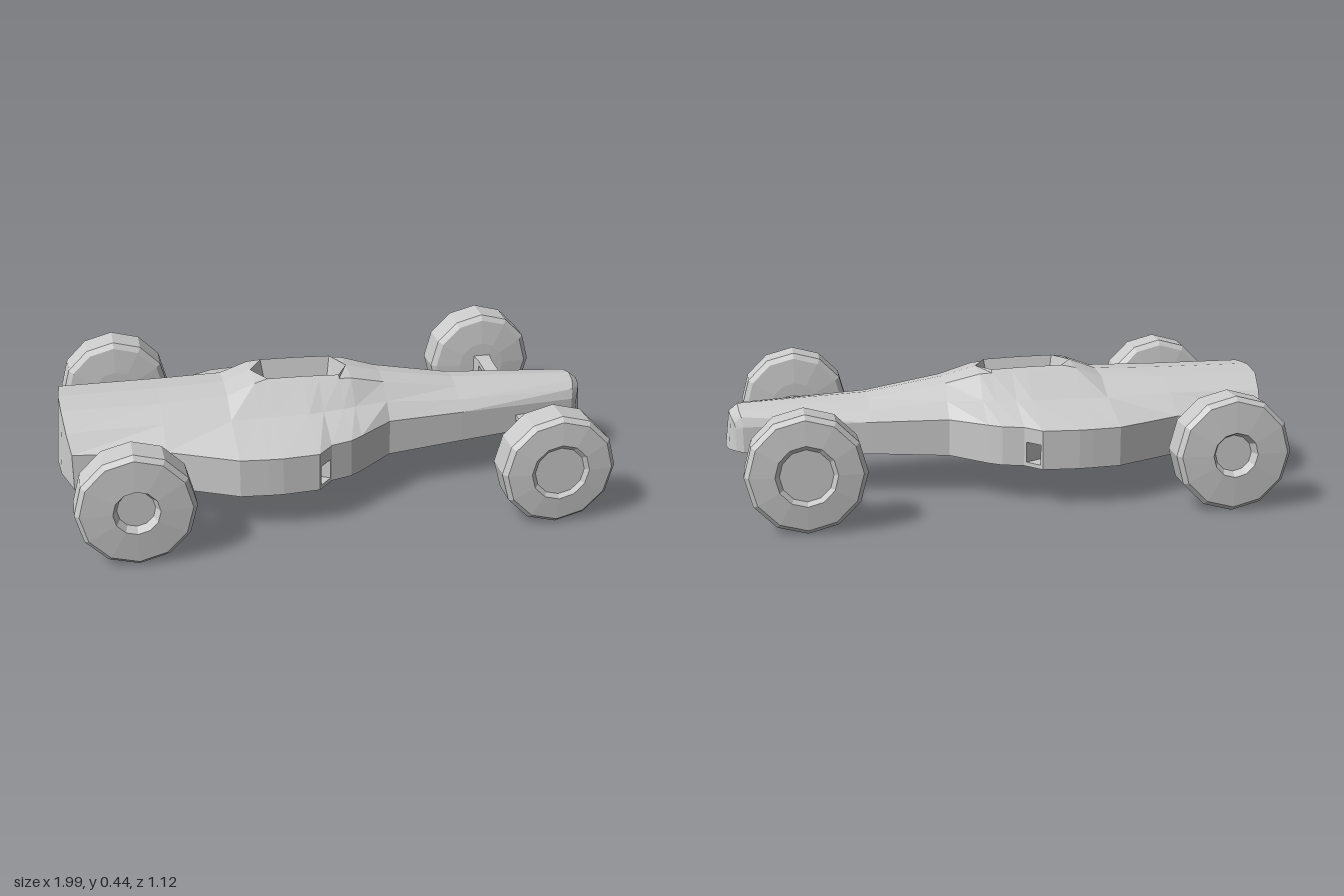
import * as THREE from 'three';

const material = new THREE.MeshStandardMaterial({ color: 0xcccccc, flatShading: true });

// Mesh from corner loops given for the +z half, mirrored to -z
function mirroredPanels(name, panels) {
  const pos = [];
  for (const p of panels) {
    for (let k = 1; k < p.length - 1; k++) {
      const tri = [p[0], p[k], p[k + 1]];
      for (const [x, y, z] of tri) pos.push(x, y, z);
      for (const [x, y, z] of tri.reverse()) pos.push(x, y, -z);
    }
  }
  const g = new THREE.BufferGeometry();
  g.setAttribute('position', new THREE.Float32BufferAttribute(pos, 3));
  g.computeVertexNormals();
  const mesh = new THREE.Mesh(g, material);
  mesh.name = name;
  return mesh;
}

// Quads joining two closed loops of corners
function bridge(a, b) {
  return a.map((p, k) => {
    const n = (k + 1) % a.length;
    return [p, a[n], b[n], b[k]];
  });
}

// Body stations: x, side width, waist y, shoulder z, shoulder y, deck z, top y, opening z, bottom y
const stations = [
  [-0.945, 0.24, 0.28, 0.185, 0.34, 0.11, 0.40, 0, 0.145],
  [-0.62, 0.28, 0.28, 0.19, 0.345, 0.11, 0.40, 0, 0.14],
  [-0.38, 0.395, 0.28, 0.2, 0.34, 0.105, 0.405, 0, 0.14],
  [-0.28, 0.405, 0.28, 0.2, 0.34, 0.1, 0.443, 0, 0.14],
  [-0.23, 0.408, 0.28, 0.2, 0.34, 0.1, 0.442, 0.088, 0.14],
  [-0.1, 0.4, 0.28, 0.2, 0.34, 0.1, 0.44, 0.088, 0.14],
  [-0.045, 0.34, 0.28, 0.19, 0.34, 0.1, 0.438, 0.088, 0.14],
  [0.03, 0.318, 0.28, 0.18, 0.34, 0.1, 0.435, 0.088, 0.14],
  [0.075, 0.287, 0.28, 0.17, 0.34, 0.098, 0.432, 0, 0.14],
  [0.2, 0.192, 0.28, 0.14, 0.335, 0.08, 0.398, 0, 0.147],
  [0.48, 0.16, 0.275, 0.125, 0.31, 0.07, 0.35, 0, 0.158],
  [0.93, 0.098, 0.26, 0.085, 0.295, 0.055, 0.326, 0, 0.166],
  [0.955, 0.08, 0.25, 0.072, 0.27, 0.045, 0.3, 0, 0.168],
];

// Half section from bottom centre round to the deck, with bowed tail and nose
function section([x, w, waist, mz, my, ez, top, open, bot], i) {
  const bow = i === 0 ? -0.05 : i === stations.length - 1 ? 0.04 : i === stations.length - 2 ? 0.03 : 0;
  const pts = [[0, bot], [ez, bot], [w, bot], [w, waist], [mz, my], [ez, top - 0.01], [open, top]];
  return pts.map(([z, y]) => [
    x + bow * (1 - (z / w) ** 2) * (1 - 0.4 * (y - bot) / (top - bot)), y, z]);
}

function createBody() {
  const body = new THREE.Group();
  body.name = 'body';
  const rings = stations.map(section);
  const intakeStation = 5, shell = [];
  for (let i = 0; i < rings.length - 1; i++) {
    for (let j = 0; j < 6; j++) {
      if (i === intakeStation && j === 2) continue;
      shell.push([rings[i][j], rings[i + 1][j], rings[i + 1][j + 1], rings[i][j + 1]]);
    }
  }
  // Tail and nose faces
  const ends = (r) => [[r[0], r[1], r[5], r[6]], [r[1], r[2], r[3], r[4], r[5]]];
  shell.push(...ends(rings[0]));
  shell.push(...ends(rings[rings.length - 1]).map((p) => p.reverse()));
  body.add(mirroredPanels('bodyShell', shell));

  // Side intakes: a frame and a pocket in the slanted panel
  const a = rings[intakeStation], b = rings[intakeStation + 1];
  const outer = [a[2], b[2], b[3], a[3]];
  const at = (u, y) => [a[2][0] + u * (b[2][0] - a[2][0]), y, a[2][2] + u * (b[2][2] - a[2][2])];
  const inner = [at(0.12, 0.155), at(0.88, 0.155), at(0.88, 0.228), at(0.12, 0.228)];
  const back = inner.map(([x, y, z]) => [x - 0.09, y, z - 0.05]);
  body.add(mirroredPanels('sideIntakes', [...bridge(outer, inner), ...bridge(inner, back), back]));

  // Cockpit tub below the deck opening
  const rim = [3, 4, 5, 6, 7, 8].map((i) => rings[i][6]);
  const floor = rim.map(([x, , z]) => [-0.1 + (x + 0.1) * 0.82, 0.28, z * 0.6]);
  const tub = bridge(rim, floor).slice(0, -1);
  tub.push(floor);
  body.add(mirroredPanels('cockpitTub', tub));
  return body;
}

// Twelve-sided wheel, outer face towards +z
function createWheel(name, hubRadius, hubDepth) {
  const profile = [
    [0, -0.08], [0.09, -0.078], [0.185, -0.066], [0.204, -0.05],
    [0.206, 0.055], [0.19, 0.072], [hubRadius + 0.015, 0.08],
    [hubRadius, 0.08 - hubDepth], [0, 0.08 - hubDepth],
  ].map(([r, h]) => new THREE.Vector2(r, h));
  const g = new THREE.LatheGeometry(profile, 12);
  g.rotateX(Math.PI / 2);
  const wheel = new THREE.Mesh(g, material);
  wheel.name = name;
  return wheel;
}

// Forked suspension arms: two diverging beams meeting a hub block
function createArms(name, xIn, xOut, halfIn, halfOut, zIn) {
  const rect = (x, h, y0, y1, z) => [[x - h, y0, z], [x + h, y0, z], [x + h, y1, z], [x - h, y1, z]];
  const beam = (p, q) => [...bridge(p, q), [...p].reverse(), q];
  const zOut = 0.35;
  return mirroredPanels(name, [
    ...beam(rect(xIn, halfIn, 0.209, 0.225, zIn), rect(xOut, halfOut, 0.223, 0.242, zOut)),
    ...beam(rect(xIn, halfIn, 0.19, 0.205, zIn), rect(xOut, halfOut, 0.178, 0.195, zOut)),
    ...beam(rect(xOut, halfOut, 0.178, 0.242, zOut), rect(xOut, halfOut * 1.25, 0.175, 0.245, 0.41)),
  ]);
}

export function createModel() {
  const car = new THREE.Group();
  car.name = 'racingCar';
  car.add(createBody());
  car.add(createArms('frontSuspension', 0.727, 0.727, 0.027, 0.027, 0.07));
  car.add(createArms('rearSuspension', -0.69, -0.735, 0.055, 0.058, 0.15));

  for (const side of [1, -1]) {
    const label = side > 0 ? 'Left' : 'Right';
    const front = createWheel('frontWheel' + label, 0.09, 0.012);
    const rear = createWheel('rearWheel' + label, 0.065, 0.03);
    front.position.set(0.727, 0.206, side * 0.48);
    rear.position.set(-0.75, 0.206, side * 0.48);
    for (const wheel of [front, rear]) {
      if (side < 0) wheel.rotation.y = Math.PI;
      car.add(wheel);
    }
  }
  return car;
}
